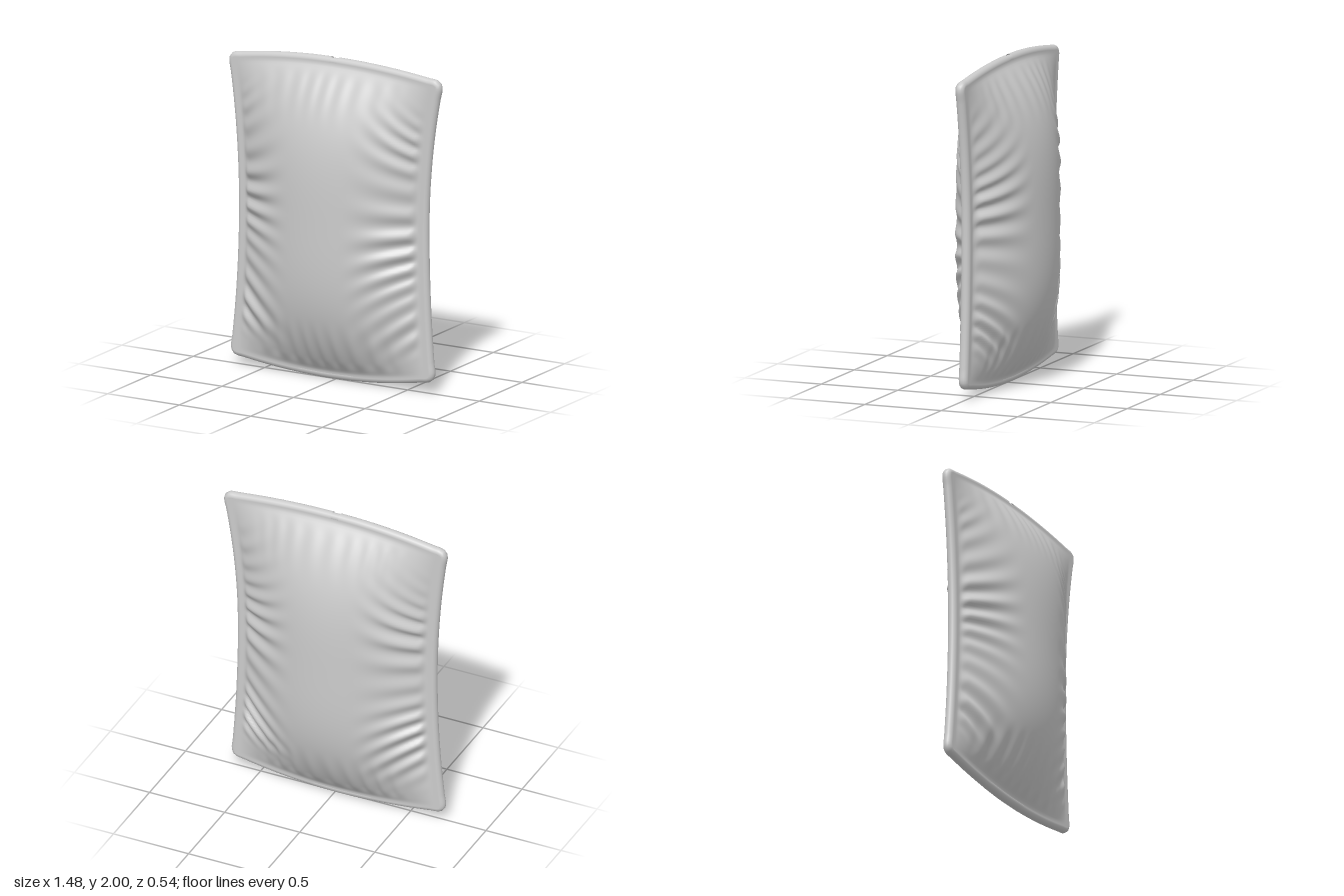
import * as THREE from 'three';

const material = new THREE.MeshStandardMaterial({ color: 0xcccccc, side: THREE.DoubleSide });
const CORD = 0.03;
const { smoothstep, lerp } = THREE.MathUtils;

// Outline: sides bow inwards, top and bottom bow outwards; u, v run from -1 to 1
function outline(u, v) {
  const left = -0.675 - (v > 0 ? 0.07 : 0.058) * v * v;
  const right = 0.648 + (v > 0 ? 0.095 : 0.042) * v * v;
  const top = 2 - (u > 0 ? 0.05 : 0.065) * u * u;
  const bottom = (u > 0 ? 0.072 : 0.057) * u * u;
  return [lerp(left, right, (u + 1) / 2), lerp(bottom, top, (v + 1) / 2)];
}

// Same, pulled in so the cord's outer edge lies on the outline
function seam(u, v) {
  const [x, y] = outline(u, v);
  return [x - u * CORD, y - v * CORD];
}

// Folds that fan out from the side seams and the two ends
function folds(u, v, seed) {
  const au = Math.abs(u), av = Math.abs(v), side = u > 0 ? 1.7 : 0;
  const q = v * (1 - 0.58 * (1 - au));
  const sideArea = smoothstep(au, 0.25, 0.85) * (1 - smoothstep(au, 0.88, 0.96)) * (1 - smoothstep(av, v > 0 ? 0.4 : 0.65, 0.9));
  const sideWave = Math.sin(q * 54 + 1.5 * Math.sin(q * 7 + seed + side) + seed + side);
  const sideSize = 0.011 + 0.005 * Math.sin(q * 9 + seed * 2 + side);
  const endArea = smoothstep(av, 0.6, 0.86) * (1 - smoothstep(av, 0.89, 0.97)) * (1 - smoothstep(au, 0.5, 0.85));
  const endWave = Math.sin(u * 38 + 1.2 * Math.sin(u * 6 + seed) + seed);
  return sideArea * sideWave * sideSize + endArea * endWave * (v < 0 ? 0.007 : 0.003);
}

// One stuffed face, flush with the cord at its border; facing is 1 for the front, -1 for the back
function makeFace(name, facing, seed) {
  const geometry = new THREE.PlaneGeometry(2, 2, 110, 140);
  const pos = geometry.attributes.position;
  for (let i = 0; i < pos.count; i++) {
    const u = pos.getX(i) * facing, v = pos.getY(i);
    const pu = Math.min(1, Math.abs(u) / 0.95), pv = Math.min(1, Math.abs(v) / 0.98);
    const puff = 0.24 * (1 - pu * pu) * (1 - Math.pow(pv, 3.3));
    const [x, y] = seam(u, v);
    pos.setXYZ(i, x, y, facing * (CORD + puff + folds(u, v, seed)));
  }
  geometry.computeVertexNormals();
  const mesh = new THREE.Mesh(geometry, material);
  mesh.name = name;
  return mesh;
}

// A round cord through points on the seam
function makeCord(name, points, radius, segments) {
  const curve = new THREE.CatmullRomCurve3(points.map(([u, v]) => new THREE.Vector3(...seam(u, v), 0)));
  const mesh = new THREE.Mesh(new THREE.TubeGeometry(curve, segments, radius, 16), material);
  mesh.name = name;
  return mesh;
}

export function createModel() {
  const group = new THREE.Group();
  group.name = 'cushion';
  group.add(makeFace('frontFace', 1, 0.4), makeFace('backFace', -1, 2.6));

  // Edge cord, running clockwise from the small gap at the top
  const edge = [-0.985, -0.9, -0.7, -0.5, -0.25, 0, 0.25, 0.5, 0.7, 0.9, 0.985];
  const down = [...edge].reverse();
  const path = [
    [0.03, 1], ...edge.filter((t) => t > 0.1).map((t) => [t, 1]),
    ...down.map((t) => [1, t]),
    ...down.map((t) => [t, -1]),
    ...edge.map((t) => [-1, t]),
    ...edge.filter((t) => t < -0.1).map((t) => [t, 1]), [-0.04, 1],
  ];
  group.add(makeCord('edgeCord', path, CORD, 480));

  // Thinner join across the gap, and the closed opening at the bottom
  group.add(makeCord('cordJoin', [[-0.07, 1], [-0.005, 1], [0.06, 1]], 0.024, 6));
  group.add(makeCord('bottomClosure', [[-0.33, -1], [-0.05, -1], [0.23, -1]], 0.031, 24));
  return group;
}
